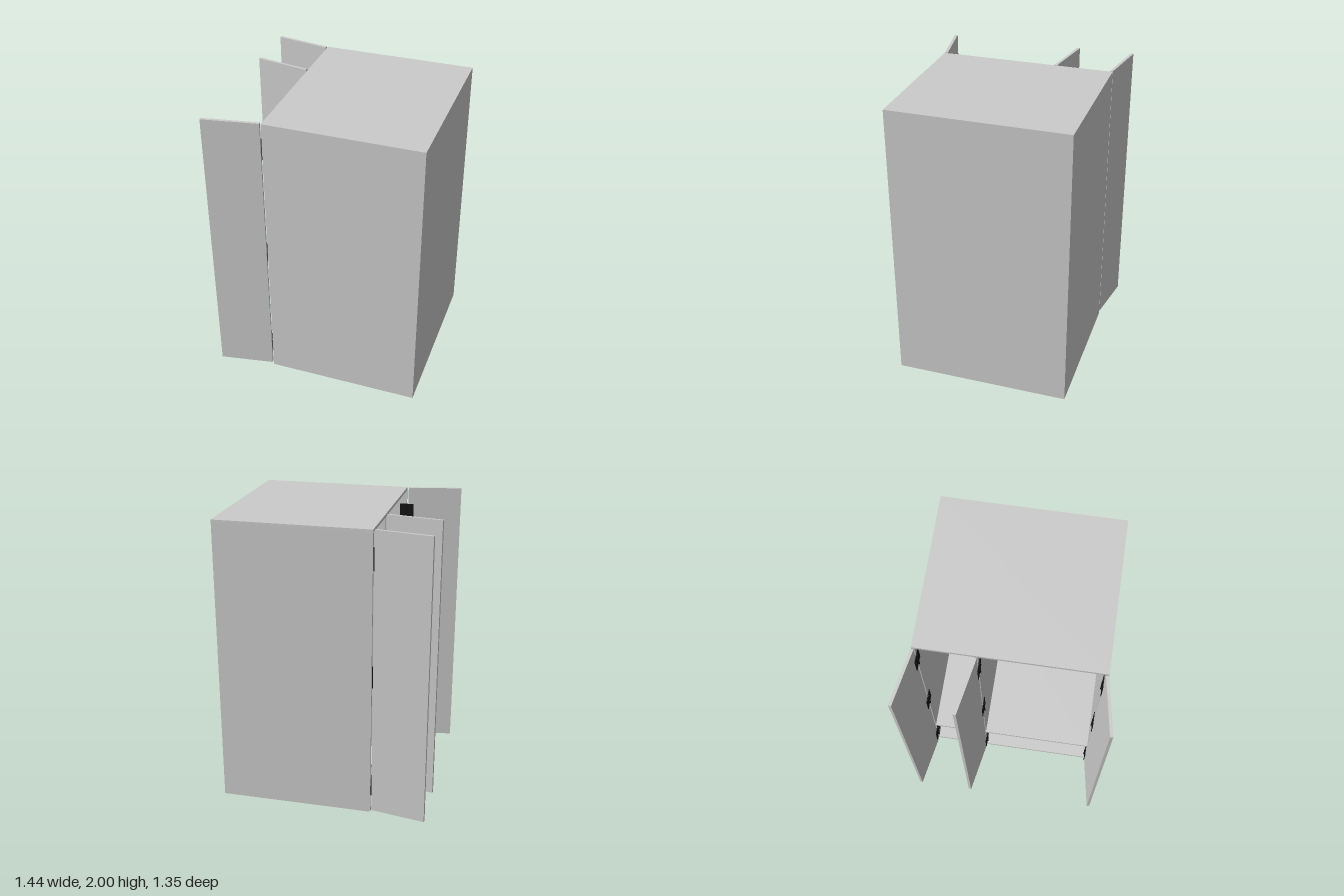
import * as THREE from 'three';

const bodyMat = new THREE.MeshStandardMaterial({ color: 0xcccccc });
const hingeMat = new THREE.MeshStandardMaterial({ color: 0x111111 });

// Box given by its min and max corners
function panel(name, [x0, y0, z0], [x1, y1, z1], mat = bodyMat) {
  const m = new THREE.Mesh(new THREE.BoxGeometry(x1 - x0, y1 - y0, z1 - z0), mat);
  m.position.set((x0 + x1) / 2, (y0 + y1) / 2, (z0 + z1) / 2);
  m.name = name;
  return m;
}

// Butt hinge: two flat leaves, screw heads and a knuckled barrel
function hinge(side) {
  const g = new THREE.Group();
  g.name = 'hinge';
  const h = 0.155;
  for (const s of [-1, 1]) {
    g.add(panel('hingeLeaf', [s < 0 ? -0.05 : 0.002, -h / 2, -0.002], [s < 0 ? -0.002 : 0.05, h / 2, 0.002], hingeMat));
    for (const y of [-0.05, 0, 0.05]) {
      const screw = new THREE.Mesh(new THREE.CylinderGeometry(0.005, 0.005, 0.002, 10), hingeMat);
      screw.rotation.x = Math.PI / 2;
      screw.position.set(s * 0.027, y, side * 0.0025);
      screw.name = 'screw';
      g.add(screw);
    }
  }
  for (let i = 0; i < 5; i++) {
    const k = new THREE.Mesh(new THREE.CylinderGeometry(0.005, 0.005, h / 5 - 0.001, 12), hingeMat);
    k.position.set(0, (i - 2) * h / 5, side * 0.005);
    k.name = 'knuckle';
    g.add(k);
  }
  return g;
}

export function createModel() {
  const model = new THREE.Group();
  const X0 = -0.335, X1 = 0.72, Z0 = -0.61, Z1 = 0.605, H = 2, T = 0.02;

  // Carcass, open towards -x
  const carcass = new THREE.Group();
  carcass.name = 'carcass';
  carcass.add(
    panel('bottomPanel', [X0, 0, Z0], [X1, T, Z1]),
    panel('topPanel', [X0, H - T, Z0], [X1, H, Z1]),
    panel('backSidePanel', [X0, T, Z0], [X1, H - T, Z0 + T]),
    panel('frontSidePanel', [X0, T, Z1 - T], [X1, H - T, Z1]),
    panel('rearPanel', [X1 - T, T, Z0 + T], [X1, H - T, Z1 - T]),
    panel('divider', [X0, T, -0.22], [X1 - T, H - T, -0.2]),
    panel('mainShelf', [X0, 0.33, -0.2], [X1 - T, 0.35, Z1 - T]),
    panel('narrowShelf', [X0, 0.33, Z0 + T], [X1 - T, 0.35, -0.22])
  );
  model.add(carcass);

  // Open doors: hinge-edge z, swing direction, hinge z
  const doors = [
    ['backDoor', -0.6, -1, -0.588],
    ['middleDoor', -0.211, -1, -0.195],
    ['frontDoor', 0.595, 1, 0.58],
  ];
  for (const [name, z, swing, hz] of doors) {
    const pivot = new THREE.Group();
    pivot.name = name;
    pivot.position.set(-0.346, 0, z);
    pivot.rotation.y = swing * THREE.MathUtils.degToRad(10);
    pivot.add(panel(name + 'Panel', [-0.38, 0.015, -T / 2], [0, H, T / 2]));
    model.add(pivot);
    for (const y of [0.195, 1, 1.805]) {
      const hg = hinge(-swing);
      hg.position.set(X0 - 0.002, y, hz);
      model.add(hg);
    }
  }
  return model;
}
